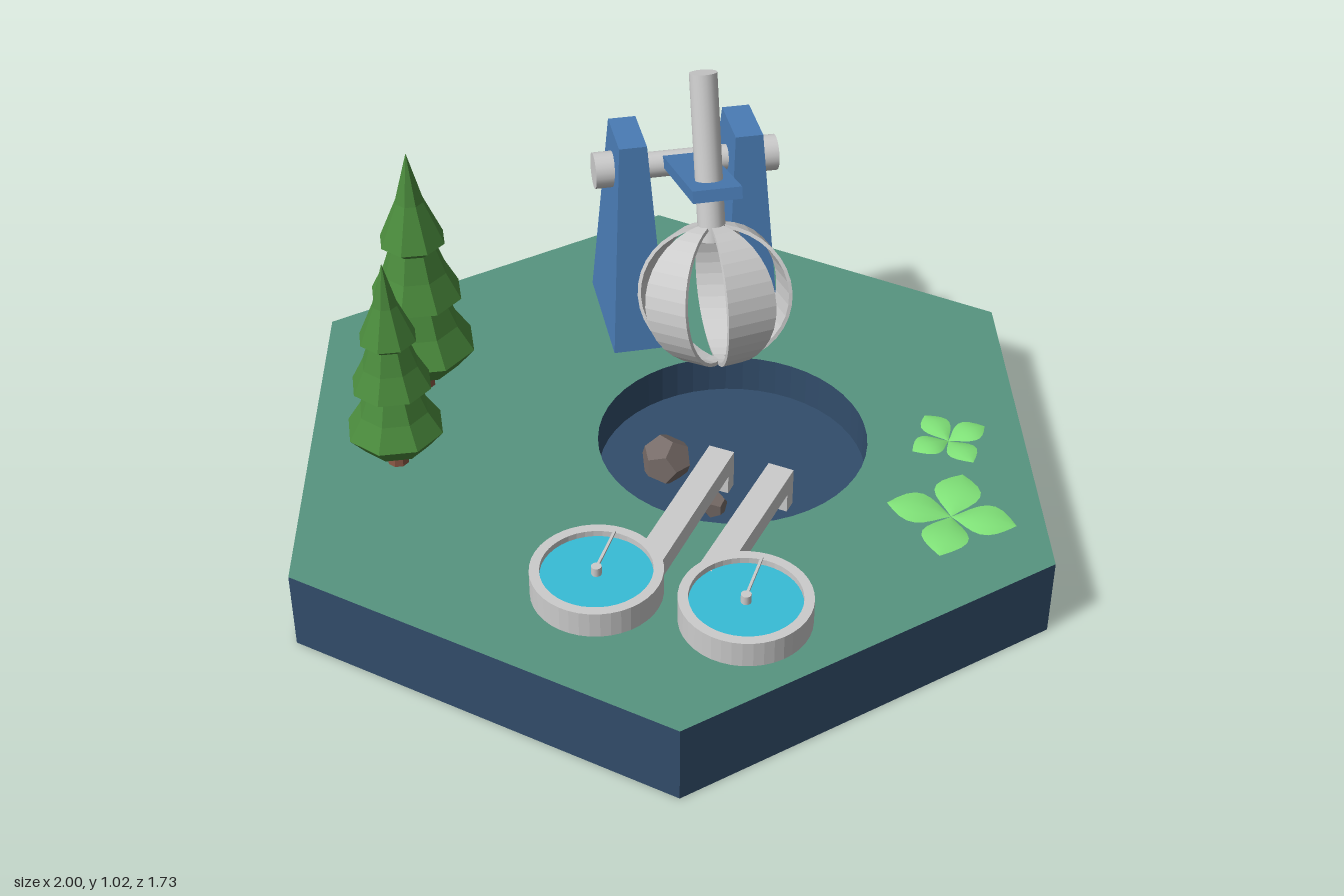
import * as THREE from 'three';

const mat = (color, opts = {}) => new THREE.MeshStandardMaterial({ color, ...opts });
const M = {
  grey: mat(0xcccccc),
  greyThin: mat(0xcccccc, { side: THREE.DoubleSide }),
  navy: mat(0x324d6b),
  grass: mat(0x579480),
  blue: mat(0x4a7cb5, { flatShading: true }),
  tree: mat(0x4a8a3c, { flatShading: true }),
  trunk: mat(0x8a5844, { flatShading: true }),
  rock: mat(0x776c68, { flatShading: true }),
  water: mat(0x37bcd6),
  leaf: mat(0x80e278, { side: THREE.DoubleSide }),
};
const GROUND = 0.2, FLOOR = 0.1;

function add(parent, name, geo, material, x = 0, y = 0, z = 0) {
  const m = new THREE.Mesh(geo, material);
  m.name = name;
  m.position.set(x, y, z);
  parent.add(m);
  return m;
}

function group(parent, name, x = 0, y = 0, z = 0) {
  const g = new THREE.Group();
  g.name = name;
  g.position.set(x, y, z);
  parent.add(g);
  return g;
}

const cyl = (r, h, n = 20, r2 = r) => new THREE.CylinderGeometry(r, r2, h, n);

// Hexagonal slab with a round pit sunk into its upper half
function buildBase(root) {
  const hexagon = () => new THREE.Shape(Array.from({ length: 6 }, (_, i) =>
    new THREE.Vector2(Math.cos(i * Math.PI / 3), Math.sin(i * Math.PI / 3))));
  const slab = (shape, depth) =>
    new THREE.ExtrudeGeometry(shape, { depth, bevelEnabled: false, curveSegments: 24 }).rotateX(-Math.PI / 2);
  add(root, 'baseSlab', slab(hexagon(), FLOOR), M.navy);
  const upper = hexagon();
  upper.holes.push(new THREE.Path().absarc(0.13, -0.09, 0.328, 0, Math.PI * 2, true));
  add(root, 'groundWithPit', slab(upper, GROUND - FLOOR), [M.grass, M.navy], 0, FLOOR, 0);
}

// Box whose top is scaled in towards its centre
function taperedBox(w, h, d, sx, sz) {
  const g = new THREE.BoxGeometry(w, h, d).translate(0, h / 2, 0);
  const p = g.attributes.position;
  for (let i = 0; i < p.count; i++)
    if (p.getY(i) > h / 2) p.setXYZ(i, p.getX(i) * sx, h, p.getZ(i) * sz);
  g.computeVertexNormals();
  return g;
}

// Curved claw blade: a half-circle strip, widest at the middle, with a little thickness
function bladeGeometry(radius, width, thickness, steps = 18) {
  const pos = [], idx = [];
  for (let i = 0; i <= steps; i++) {
    const t = Math.PI * i / steps;
    const half = 0.006 + width / 2 * Math.sin(t);
    for (const [r, s] of [[radius, 1], [radius, -1], [radius - thickness, -1], [radius - thickness, 1]])
      pos.push(r * Math.sin(t), r * Math.cos(t), s * half);
    if (i < steps) for (let k = 0; k < 4; k++) {
      const a = i * 4 + k, b = i * 4 + (k + 1) % 4;
      idx.push(a, b, a + 4, b, b + 4, a + 4);
    }
  }
  const g = new THREE.BufferGeometry();
  g.setAttribute('position', new THREE.Float32BufferAttribute(pos, 3));
  g.setIndex(idx);
  const flat = g.toNonIndexed();
  flat.computeVertexNormals();
  return flat;
}

// Two towers carry an axle; the tilted arm holds a rod and a claw over the pit
function buildCrane(root) {
  const crane = group(root, 'crane', 0.32, GROUND, -0.44);
  crane.rotation.y = -Math.PI / 9;
  const axleY = 0.45;
  add(crane, 'axle', cyl(0.033, 0.42).rotateZ(Math.PI / 2), M.grey, 0, axleY, 0);
  for (const s of [-1, 1]) {
    add(crane, 'tower', taperedBox(0.14, 0.55, 0.33, 0.5, 0.47), M.blue, s * 0.147, 0, 0);
    add(crane, 'axleCap', cyl(0.046, 0.055).rotateZ(Math.PI / 2), M.grey, s * 0.207, axleY, 0);
  }
  const arm = group(crane, 'arm', 0, axleY, 0);
  arm.rotation.x = -0.3;
  add(arm, 'armBoard', new THREE.BoxGeometry(0.12, 0.03, 0.43), M.blue, 0, 0.01, 0.18);
  add(arm, 'rod', cyl(0.034, 0.41), M.grey, 0, 0.08, 0.298);

  const claw = group(arm, 'claw', 0, -0.262, 0.298);
  const blade = bladeGeometry(0.178, 0.12, 0.009);
  for (let i = 0; i < 5; i++)
    add(claw, 'clawBlade', blade, M.greyThin).rotation.y = -i * Math.PI * 2 / 5;
}

// Conifer with three stacked skirts
function buildTree(root, x, z, s) {
  const tree = group(root, 'tree', x, GROUND, z);
  tree.scale.setScalar(s);
  add(tree, 'trunk', cyl(0.024, 0.1, 8, 0.031), M.trunk, 0, 0.05, 0);
  const profile = [[0, 0.085], [0.095, 0.07], [0.14, 0.125], [0.1, 0.19], [0.075, 0.255],
    [0.115, 0.275], [0.08, 0.345], [0.058, 0.41], [0.082, 0.43], [0.035, 0.54], [0, 0.67]];
  add(tree, 'foliage', new THREE.LatheGeometry(profile.map(p => new THREE.Vector2(...p)), 8), M.tree);
}

// Round water tank with a rotating skimmer
function buildTank(root, x, z) {
  const tank = group(root, 'tank', x, GROUND, z);
  const wall = new THREE.Shape().absarc(0, 0, 0.15, 0, Math.PI * 2);
  wall.holes.push(new THREE.Path().absarc(0, 0, 0.127, 0, Math.PI * 2, true));
  add(tank, 'tankWall', new THREE.ExtrudeGeometry(wall,
    { depth: 0.065, bevelEnabled: false, curveSegments: 20 }).rotateX(-Math.PI / 2), M.grey);
  add(tank, 'water', cyl(0.128, 0.05, 40), M.water, 0, 0.025, 0);
  add(tank, 'skimmerPost', cyl(0.012, 0.072, 12), M.grey, 0, 0.036, 0);
  const skimmer = group(tank, 'skimmer', 0, 0.067, 0);
  skimmer.rotation.y = 0.72;
  add(skimmer, 'skimmerArm', new THREE.BoxGeometry(0.13, 0.006, 0.006), M.grey, 0.065, 0, 0);
}

// Channel from a tank to a spout hanging over the pit
function buildChute(root, x0, z0, x1, z1) {
  const chute = group(root, 'chute', x0, GROUND, z0);
  const len = Math.hypot(x1 - x0, z1 - z0);
  chute.rotation.y = -Math.atan2(z1 - z0, x1 - x0);
  add(chute, 'channel', new THREE.BoxGeometry(len, 0.05, 0.064), M.grey, len / 2, 0.025, 0);
  add(chute, 'spout', new THREE.BoxGeometry(0.035, 0.05, 0.064), M.grey, len - 0.0175, -0.025, 0);
}

// Low plant with four broad, arched leaves
function buildPlant(root, x, z, size, turn) {
  const plant = group(root, 'plant', x, GROUND, z);
  const g = new THREE.PlaneGeometry(1, 2, 8, 4).rotateX(-Math.PI / 2);
  const p = g.attributes.position;
  for (let i = 0; i < p.count; i++) {
    const t = p.getX(i) + 0.5, side = p.getZ(i);
    const half = 0.36 * Math.sin(Math.PI * Math.pow(t, 1.15));
    const y = 0.006 + 0.016 * Math.sin(Math.PI * t * 0.85) - 0.007 * side * side * Math.sin(Math.PI * t);
    p.setXYZ(i, t * size, y, side * half * size);
  }
  g.computeVertexNormals();
  for (let i = 0; i < 4; i++)
    add(plant, 'leaf', g, M.leaf).rotation.y = -(turn + i * Math.PI / 2);
}

export function createModel() {
  const root = new THREE.Group();
  root.name = 'craneDiorama';
  buildBase(root);
  buildCrane(root);
  buildTree(root, -0.415, -0.5, 1);
  buildTree(root, -0.605, -0.25, 0.845);
  buildTank(root, -0.43, 0.4);
  buildTank(root, -0.197, 0.65);
  buildChute(root, -0.3, 0.413, 0.047, 0.17);
  buildChute(root, -0.21, 0.525, 0.13, 0.3);
  buildPlant(root, 0.395, 0.615, 0.152, 0.83);
  buildPlant(root, 0.563, 0.385, 0.105, 0.06);

  // Boulders lying in the pit
  const boulder = add(root, 'boulder', new THREE.DodecahedronGeometry(0.064), M.rock, -0.02, 0.148, 0.025);
  boulder.rotation.set(0.4, 0.7, 0.2);
  add(root, 'smallBoulder', new THREE.DodecahedronGeometry(0.035), M.rock, 0.005, 0.12, 0.2);
  return root;
}
